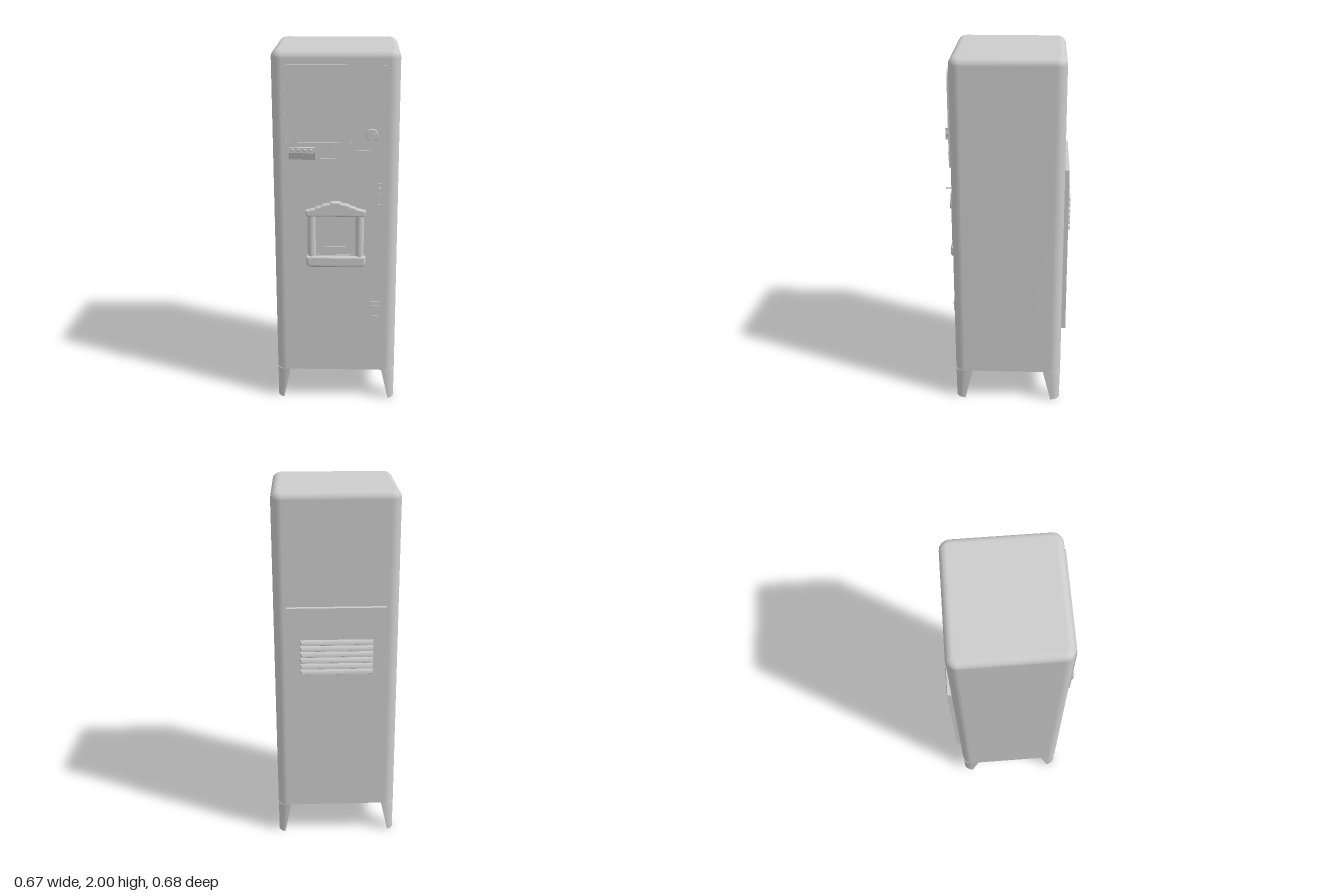
import * as THREE from 'three';

const grey = new THREE.MeshStandardMaterial({ color: 0xcccccc });
grey.name = 'grey paint';
grey.side = THREE.DoubleSide;

const W = 0.335, D = 0.303, R = 0.055, BASE = 0.185, FRONT = 0.313;

function add(parent, name, geometry, x = 0, y = 0, z = 0) {
  const mesh = new THREE.Mesh(geometry, grey);
  mesh.name = name;
  mesh.position.set(x, y, z);
  parent.add(mesh);
  return mesh;
}

// rectangle path with its own radius at top and bottom corners
function rect(target, x0, y0, x1, y1, rt, rb = rt) {
  target.moveTo(x0 + rb, y0);
  target.lineTo(x1 - rb, y0);
  if (rb) target.quadraticCurveTo(x1, y0, x1, y0 + rb);
  target.lineTo(x1, y1 - rt);
  if (rt) target.quadraticCurveTo(x1, y1, x1 - rt, y1);
  target.lineTo(x0 + rt, y1);
  if (rt) target.quadraticCurveTo(x0, y1, x0, y1 - rt);
  target.lineTo(x0, y0 + rb);
  if (rb) target.quadraticCurveTo(x0, y0, x0 + rb, y0);
  return target;
}

// plate from z0 to z1 with an optional bevel inside its outline
function plate(parent, name, shape, z0, z1, bevel = 0) {
  const geo = new THREE.ExtrudeGeometry(shape, {
    depth: z1 - z0 - bevel, bevelEnabled: bevel > 0, bevelThickness: bevel,
    bevelSize: bevel, bevelOffset: -bevel, bevelSegments: 4, curveSegments: 8,
  });
  return add(parent, name, geo, 0, 0, z0);
}

function frame(parent, name, x0, y0, x1, y1, z0, z1, t = 0.006, r = 0.008) {
  const s = rect(new THREE.Shape(), x0, y0, x1, y1, r);
  s.holes.push(rect(new THREE.Path(), x0 + t, y0 + t, x1 - t, y1 - t, r * 0.5));
  return plate(parent, name, s, z0, z1);
}

// cabinet shell: rounded outline swept up and rolled over at the top
function cabinetGeometry() {
  const n = 6, roll = 0.04, rings = [[BASE, 0], [1.0, 0]];
  for (let i = 0; i <= 6; i++) {
    const a = (i / 6) * Math.PI / 2;
    rings.push([2 - roll + roll * Math.sin(a), roll * (1 - Math.cos(a))]);
  }
  const pos = [], idx = [], count = 4 * (n + 1);
  for (const [y, inset] of rings) {
    for (let c = 0; c < 4; c++) {
      const sx = c === 0 || c === 3 ? 1 : -1, sz = c < 2 ? 1 : -1;
      for (let i = 0; i <= n; i++) {
        const a = (c + i / n) * Math.PI / 2, r = R - inset;
        pos.push(sx * (W - R) + r * Math.cos(a), y, sz * (D - R) + r * Math.sin(a));
      }
    }
  }
  for (let k = 0; k < rings.length - 1; k++) {
    for (let i = 0; i < count; i++) {
      const a = k * count + i, b = k * count + (i + 1) % count;
      idx.push(a, a + count, b, b, a + count, b + count);
    }
  }
  const last = (rings.length - 1) * count;
  pos.push(0, 2, 0);
  for (let i = 0; i < count; i++) idx.push(last + i, pos.length / 3 - 1, last + (i + 1) % count);
  const geo = new THREE.BufferGeometry();
  geo.setAttribute('position', new THREE.Float32BufferAttribute(pos, 3));
  geo.setIndex(idx);
  geo.computeVertexNormals();
  return geo;
}

// tapering sheet leg wrapped round a cabinet corner
function legGeometry() {
  const L = R * Math.PI / 2, n = 16, pos = [], idx = [];
  const corner = (s, y) => {
    const a = Math.min(Math.max(s, 0), L) / R;
    pos.push(W - R + R * Math.sin(a) + Math.min(s, 0), y,
      D - R + R * Math.cos(a) - Math.max(s - L, 0));
  };
  for (let i = 0; i <= n; i++) {
    const t = i / n;
    corner(THREE.MathUtils.lerp(-0.02, L + 0.045, t), BASE);
    corner(THREE.MathUtils.lerp(0.37 * R, L, t), 0);
    if (i < n) idx.push(2 * i, 2 * i + 1, 2 * i + 2, 2 * i + 2, 2 * i + 1, 2 * i + 3);
  }
  const geo = new THREE.BufferGeometry();
  geo.setAttribute('position', new THREE.Float32BufferAttribute(pos, 3));
  geo.setIndex(idx);
  geo.computeVertexNormals();
  return geo;
}

function buildControls(g) {
  // raised surround with a window that is cut off at its lower right corner
  const panel = rect(new THREE.Shape(), -0.275, 1.405, 0.275, 1.928, 0.035, 0);
  const win = new THREE.Path();
  win.moveTo(-0.235, 1.525);
  win.lineTo(0.07, 1.525);
  win.quadraticCurveTo(0.1, 1.525, 0.125, 1.55);
  win.lineTo(0.263, 1.68);
  win.lineTo(0.263, 1.885);
  win.quadraticCurveTo(0.263, 1.917, 0.235, 1.917);
  win.lineTo(-0.235, 1.917);
  win.quadraticCurveTo(-0.263, 1.917, -0.263, 1.885);
  win.lineTo(-0.263, 1.553);
  win.quadraticCurveTo(-0.263, 1.525, -0.235, 1.525);
  panel.holes.push(win);
  plate(g, 'windowSurround', panel, 0.3, FRONT);
  plate(g, 'window', new THREE.Shape(win.getPoints(6)), 0.3, 0.307);

  // sloping selector with four push buttons and a grooved face
  const side = new THREE.Shape();
  [[0.305, 1.5], [0.331, 1.5], [0.331, 1.472], [0.318, 1.432], [0.305, 1.432]]
    .forEach(([z, y], i) => (i ? side.lineTo(-z, y) : side.moveTo(-z, y)));
  const wedge = new THREE.ExtrudeGeometry(side, { depth: 0.138, bevelEnabled: false });
  wedge.rotateY(Math.PI / 2);
  add(g, 'selector', wedge, -0.246);
  for (let i = 0; i < 4; i++) {
    add(g, 'selectorButton', new THREE.SphereGeometry(0.008, 12, 8), -0.226 + i * 0.032, 1.487, 0.329);
  }
  for (let i = 0; i < 9; i++) {
    const rib = add(g, 'selectorRib', new THREE.BoxGeometry(0.006, 0.036, 0.004), -0.233 + i * 0.014, 1.452, 0.3255);
    rib.rotation.x = 0.31;
  }

  // small framed displays along the control strip
  for (const [x0, x1] of [[-0.09, 0.005], [0.105, 0.19], [0.212, 0.247]]) {
    frame(g, 'displayFrame', x0, 1.432, x1, 1.482, 0.31, 0.318);
  }
  for (const y of [1.44, 1.473]) {
    add(g, 'indicator', new THREE.BoxGeometry(0.03, 0.01, 0.006), 0.065, y, 0.314);
  }

  // turning knob with a grip bar
  const disc = new THREE.CylinderGeometry(0.03, 0.034, 0.008, 24).rotateX(Math.PI / 2);
  add(g, 'knobBase', disc, 0.19, 1.566, 0.316);
  const hub = new THREE.CylinderGeometry(0.014, 0.016, 0.012, 20).rotateX(Math.PI / 2);
  add(g, 'knobHub', hub, 0.19, 1.566, 0.324);
  add(g, 'knobGrip', new THREE.BoxGeometry(0.013, 0.064, 0.014), 0.19, 1.566, 0.329);
}

function buildDispenser(g) {
  // stepped hood above the opening
  const hood = new THREE.Shape();
  hood.moveTo(-0.145, 1.118);
  hood.lineTo(0.145, 1.118);
  hood.quadraticCurveTo(0.162, 1.118, 0.162, 1.14);
  const steps = [[0.162, 1.155], [0.11, 1.172], [0.075, 1.186], [0.03, 1.2]];
  steps.forEach(([x, y]) => { hood.lineTo(x, y - 0.008); hood.quadraticCurveTo(x, y, x - 0.012, y); });
  steps.reverse().forEach(([x, y]) => { hood.lineTo(-x + 0.012, y); hood.quadraticCurveTo(-x, y, -x, y - 0.008); });
  hood.lineTo(-0.162, 1.14);
  hood.quadraticCurveTo(-0.162, 1.118, -0.145, 1.118);
  plate(g, 'dispenserHood', hood, 0.298, 0.329, 0.009);

  // round posts, tray and door
  for (const s of [-1, 1]) {
    const post = add(g, 'dispenserPost', new THREE.CylinderGeometry(0.023, 0.023, 0.25, 20), s * 0.13, 1.005, 0.304);
    post.scale.z = 0.85;
  }
  plate(g, 'dispenserTray', rect(new THREE.Shape(), -0.163, 0.826, 0.163, 0.89, 0.012, 0.032), 0.298, 0.331, 0.014);
  frame(g, 'dispenserDoorFrame', -0.108, 0.888, 0.108, 1.12, 0.3, 0.312, 0.01, 0.002);
  add(g, 'dispenserDoor', new THREE.BoxGeometry(0.198, 0.23, 0.006), 0, 1.005, 0.304);
  add(g, 'dispenserPull', new THREE.BoxGeometry(0.114, 0.01, 0.01), 0, 0.94, 0.311);
}

function buildLocks(g) {
  // coin return lock with pin and lever
  plate(g, 'lockPlate', rect(new THREE.Shape(), 0.195, 1.165, 0.25, 1.3, 0.004), 0.3, 0.306);
  const pin = new THREE.CylinderGeometry(0.005, 0.005, 0.034, 12).rotateX(Math.PI / 2);
  add(g, 'lockPin', pin, 0.235, 1.275, 0.319);
  frame(g, 'lockLeverFrame', 0.22, 1.178, 0.247, 1.25, 0.3, 0.311, 0.005, 0.006);
  add(g, 'lockLever', new THREE.BoxGeometry(0.008, 0.04, 0.012), 0.234, 1.215, 0.308);

  // lower coin cup
  plate(g, 'coinCupPlate', rect(new THREE.Shape(), 0.19, 0.5, 0.25, 0.613, 0.004), 0.3, 0.306);
  frame(g, 'coinCupFrame', 0.197, 0.525, 0.246, 0.59, 0.3, 0.312, 0.006, 0.01);
}

function buildBack(g) {
  add(g, 'backPanel', new THREE.BoxGeometry(0.53, 0.955, 0.03), 0, 0.917, -0.312);
  // slanted louvres, each open at its lower edge
  const side = new THREE.Shape();
  side.moveTo(0.322, 0.03);
  side.quadraticCurveTo(0.338, 0.022, 0.34, 0.002);
  side.lineTo(0.336, 0);
  side.lineTo(0.322, 0.008);
  const geo = new THREE.ExtrudeGeometry(side, { depth: 0.396, bevelEnabled: false, curveSegments: 5 });
  geo.rotateY(Math.PI / 2);
  // draw the outer edge in at both ends
  const p = geo.attributes.position;
  for (let i = 0; i < p.count; i++) {
    const out = Math.max(0, -p.getZ(i) - 0.327);
    p.setX(i, (p.getX(i) - 0.198) * (1 - out * 4));
  }
  geo.computeVertexNormals();
  for (let i = 0; i < 6; i++) add(g, 'louvre', geo, 0, 1.02 + i * 0.034, 0);
}

export function createModel() {
  const model = new THREE.Group();
  model.name = 'vendingMachine';

  add(model, 'cabinet', cabinetGeometry());
  const floor = new THREE.ShapeGeometry(rect(new THREE.Shape(), -W, -D, W, D, R * 0.95), 6);
  add(model, 'cabinetFloor', floor.rotateX(Math.PI / 2), 0, BASE, 0);

  const leg = legGeometry();
  for (const sx of [-1, 1]) for (const sz of [-1, 1]) add(model, 'leg', leg).scale.set(sx, 1, sz);

  for (const [name, build] of [['controls', buildControls], ['dispenser', buildDispenser],
    ['locks', buildLocks], ['back', buildBack]]) {
    const group = new THREE.Group();
    group.name = name;
    build(group);
    model.add(group);
  }
  return model;
}
